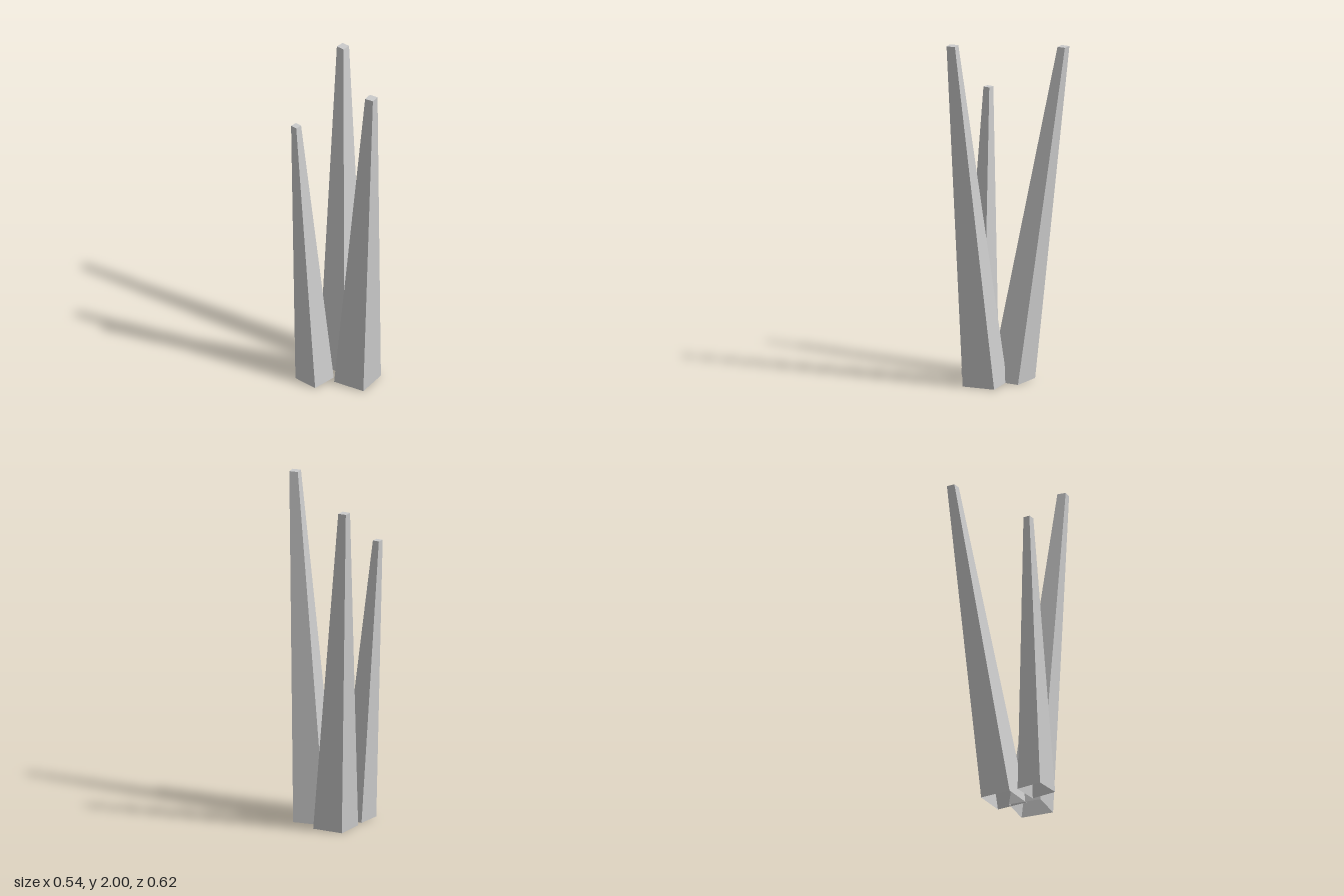
import * as THREE from 'three';

const material = new THREE.MeshStandardMaterial({
  color: 0xcccccc, flatShading: true, side: THREE.DoubleSide,
});

// Leaning square blade, tapered towards a flat tip and open underneath.
// base and tip are [x, z, width]; turn is the rotation about the vertical.
function makeBlade(name, height, turn, base, tip) {
  const box = new THREE.BoxGeometry(1, 1, 1);
  // Drop the bottom face (fourth group of six indices)
  box.setIndex(Array.from(box.index.array).filter((_, i) => i < 18 || i >= 24));
  const geometry = box.toNonIndexed();
  geometry.clearGroups();

  const p = geometry.attributes.position;
  const c = Math.cos(turn), s = Math.sin(turn);
  for (let i = 0; i < p.count; i++) {
    const top = p.getY(i) > 0;
    const [cx, cz, width] = top ? tip : base;
    const x = p.getX(i) * width, z = p.getZ(i) * width;
    p.setXYZ(i, cx + x * c + z * s, top ? height : 0, cz - x * s + z * c);
  }
  geometry.computeVertexNormals();

  const mesh = new THREE.Mesh(geometry, material);
  mesh.name = name;
  return mesh;
}

export function createModel() {
  const group = new THREE.Group();
  group.name = 'grassBlades';
  group.add(
    makeBlade('frontBlade', 2, 0.215, [-0.034, 0.089, 0.192], [-0.1235, 0.281, 0.051]),
    makeBlade('backLeftBlade', 1.93, 0.06, [0.03, -0.091, 0.186], [0.244, -0.287, 0.049]),
    makeBlade('backRightBlade', 1.645, 0, [-0.194, -0.093, 0.153], [-0.22, -0.212, 0.04]),
  );
  return group;
}
